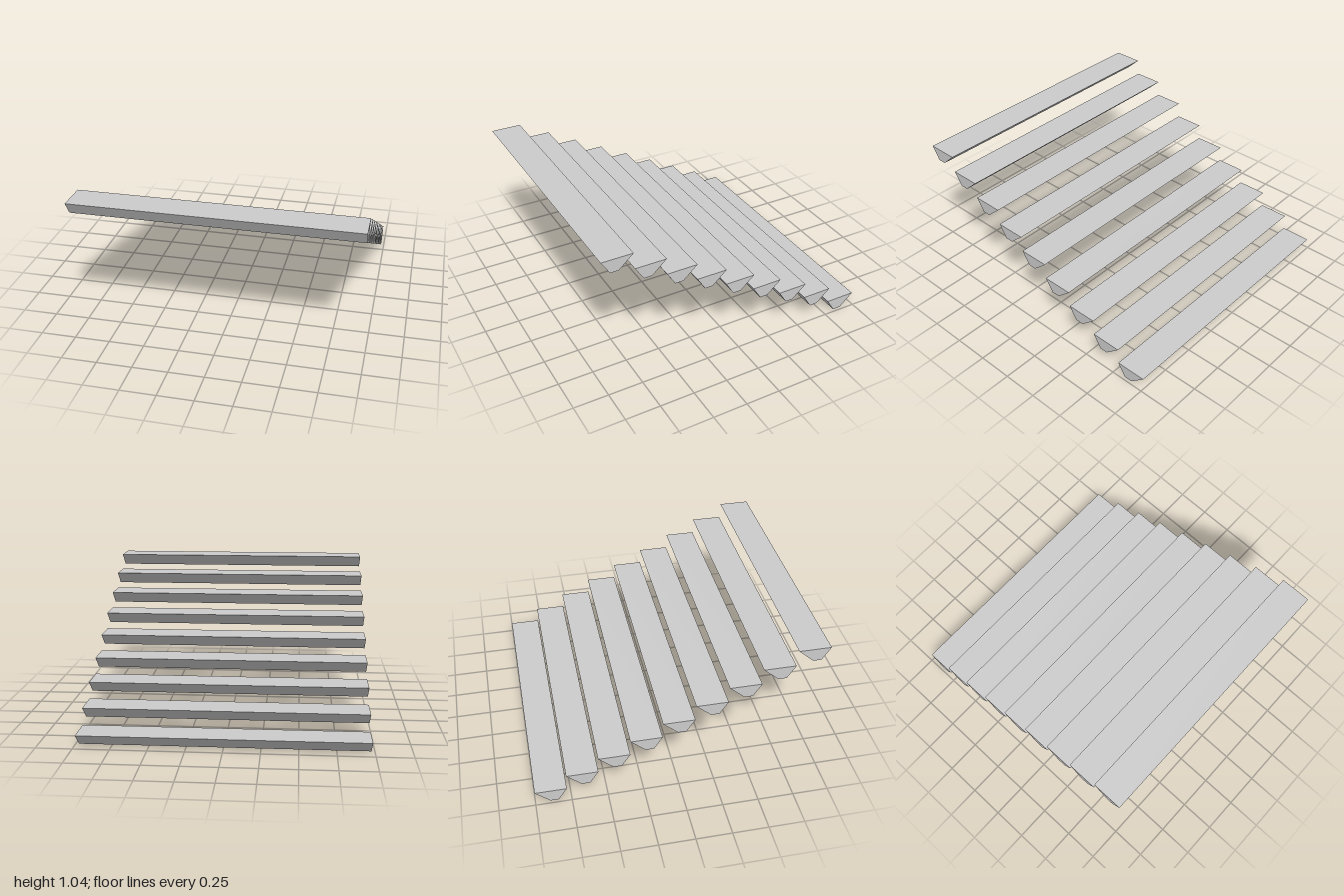
import * as THREE from 'three';

const WIDTH = 1.956, DEPTH = 0.22, HEIGHT = 0.093;
const COUNT = 9, RISE = 0.1185, RUN = 0.222;

export function createModel() {
  const group = new THREE.Group();
  group.name = 'floatingStaircase';
  const material = new THREE.MeshStandardMaterial({ color: 0xcccccc, flatShading: true });

  // Tread cross-section: flat top, narrow underside, the two slopes unequal
  const section = new THREE.Shape([
    new THREE.Vector2(0, HEIGHT),
    new THREE.Vector2(-DEPTH, HEIGHT),
    new THREE.Vector2(-0.117, 0),
    new THREE.Vector2(-0.059, 0),
  ]);
  const treadGeometry = new THREE.ExtrudeGeometry(section, { depth: WIDTH, bevelEnabled: false });
  treadGeometry.translate(0, 0, -WIDTH / 2);
  treadGeometry.rotateY(-Math.PI / 2);

  // Treads climb from the back to the front; the top one sits slightly further forward
  for (let i = 0; i < COUNT; i++) {
    const tread = new THREE.Mesh(treadGeometry, material);
    tread.name = `tread${i + 1}`;
    const front = i === COUNT - 1 ? 1 : DEPTH - 1 + i * RUN;
    tread.position.set(0, i * RISE, front);
    group.add(tread);
  }
  return group;
}
